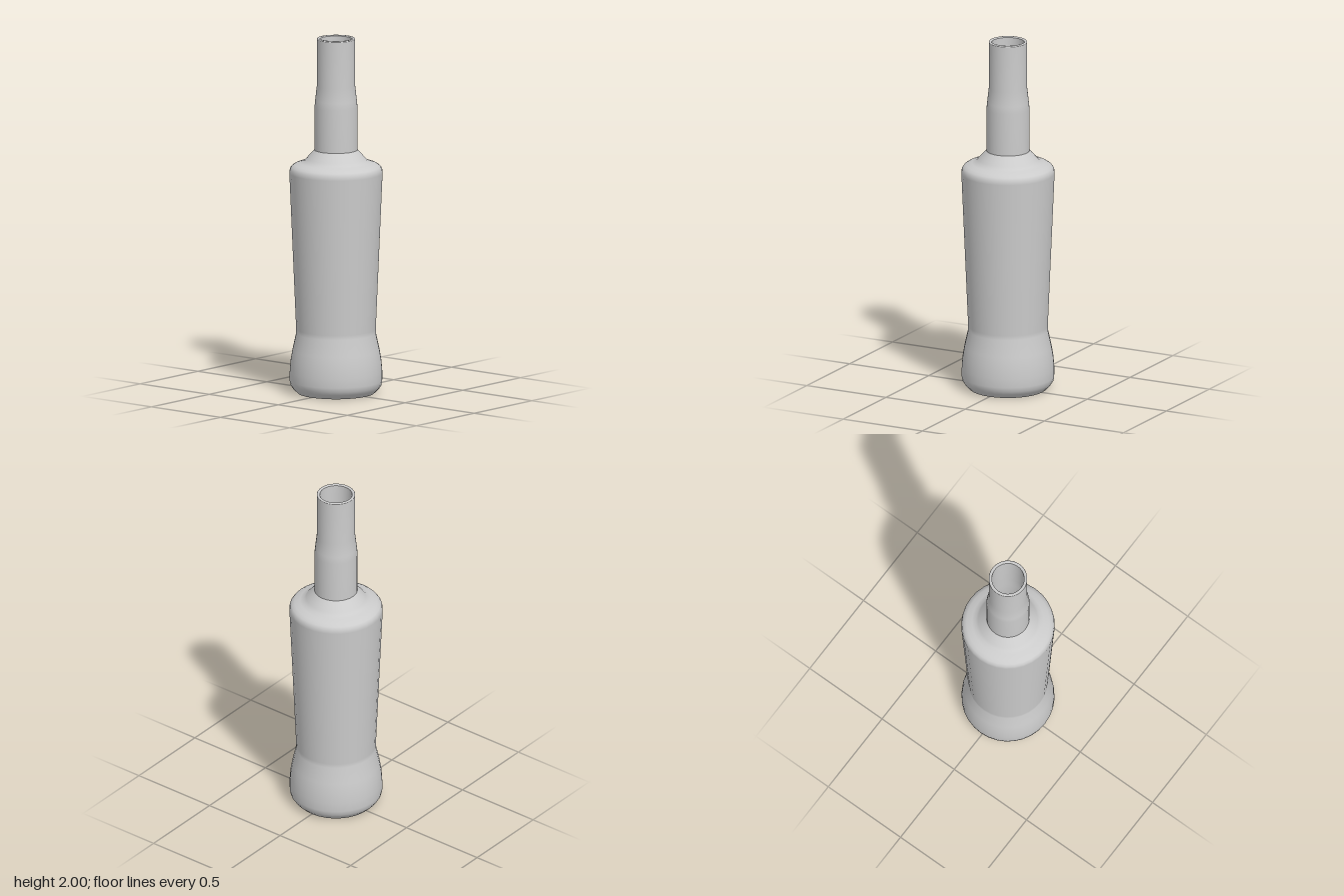
import * as THREE from 'three';

const SEGMENTS = 32;

// Revolves a list of [radius, height] pairs around the y axis
function lathe(name, profile, material) {
  const points = profile.map(([r, y]) => new THREE.Vector2(r, y));
  const mesh = new THREE.Mesh(new THREE.LatheGeometry(points, SEGMENTS), material);
  mesh.name = name;
  return mesh;
}

export function createModel() {
  const group = new THREE.Group();
  group.name = 'bottle';
  const material = new THREE.MeshStandardMaterial({ color: 0xcccccc });

  // Flat underside
  group.add(lathe('base', [[0, 0], [0.215, 0]], material));

  // Flared foot, waist, tapering body and rounded shoulder
  group.add(lathe('body', [
    [0.215, 0], [0.24, 0.025], [0.253, 0.045], [0.258, 0.07], [0.258, 0.12],
    [0.253, 0.18], [0.243, 0.24], [0.222, 0.335], [0.222, 0.36],
    [0.26, 1.24], [0.257, 1.263], [0.247, 1.277], [0.23, 1.288],
    [0.2, 1.298], [0.178, 1.306], [0.165, 1.322], [0.12, 1.37],
  ], material));

  // Neck with a slight step in towards the mouth
  group.add(lathe('neck', [
    [0.12, 1.37], [0.12, 1.61], [0.116, 1.65], [0.107, 1.73], [0.107, 1.995],
  ], material));

  // Softly rounded lip around the opening
  group.add(lathe('lip', [
    [0.107, 1.995], [0.104, 2], [0.094, 2], [0.09, 1.995],
  ], material));

  // Inside wall, running down from the lip
  group.add(lathe('innerWall', [
    [0.09, 1.995], [0.09, 1.73], [0.102, 1.61], [0.102, 1.36],
    [0.16, 1.29], [0.235, 1.26], [0.242, 1.23], [0.204, 0.36],
    [0.204, 0.33], [0.236, 0.18], [0.24, 0.08], [0.21, 0.03],
  ], material));

  // Inside floor
  group.add(lathe('innerFloor', [[0.21, 0.03], [0, 0.03]], material));

  return group;
}
